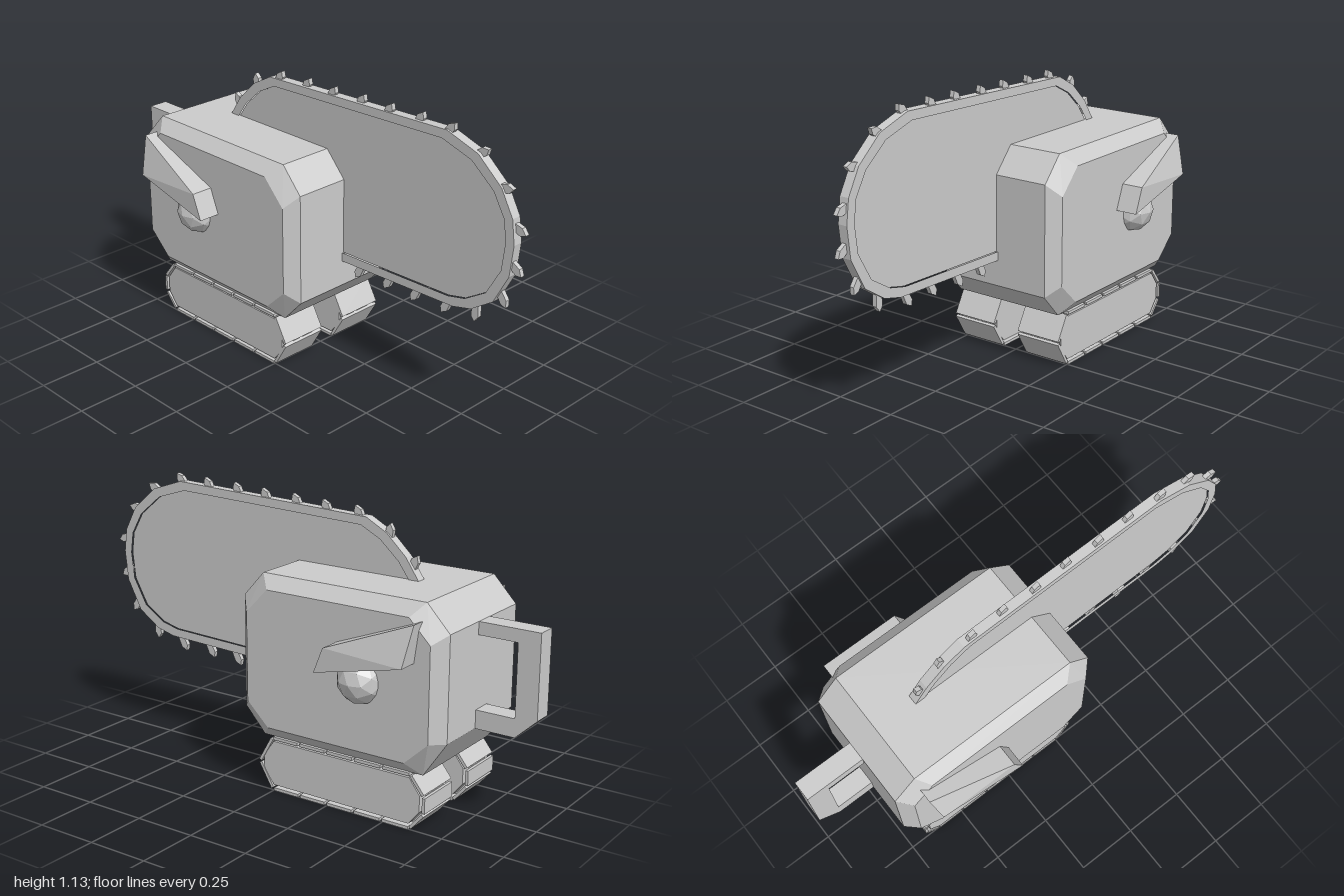
import * as THREE from 'three';
import { ConvexGeometry } from 'three/addons/geometries/ConvexGeometry.js';

const grey = new THREE.MeshStandardMaterial({ color: 0xcccccc });
grey.name = 'plain grey';

const toShape = (pts) => new THREE.Shape(pts.map(([z, y]) => new THREE.Vector2(z, y)));

// Side profile of [z, y] points, extruded to a slab centred on x
function slab(shape, width, x = 0) {
  const g = new THREE.ExtrudeGeometry(shape, { depth: width, bevelEnabled: false });
  g.translate(0, 0, -width / 2);
  g.rotateY(-Math.PI / 2);
  g.translate(x, 0, 0);
  return g;
}

function add(parent, name, geometry) {
  const mesh = new THREE.Mesh(geometry, grey);
  mesh.name = name;
  parent.add(mesh);
  return mesh;
}

const hull = (pts) => new ConvexGeometry(pts.map((p) => new THREE.Vector3(...p)));

// Chamfered housing: wide middle profile, smaller profile on each flank
function addBody(root) {
  const middle = [[0.14, 0.765], [0.05, 0.865], [-0.66, 0.865], [-0.755, 0.765],
    [-0.755, 0.362], [-0.66, 0.222], [0.05, 0.222], [0.14, 0.32]];
  const flank = [[0.095, 0.716], [0, 0.815], [-0.617, 0.815], [-0.705, 0.727],
    [-0.705, 0.363], [-0.607, 0.272], [0, 0.272], [0.095, 0.363]];
  const pts = [];
  for (const s of [-1, 1]) {
    for (const [z, y] of middle) pts.push([s * 0.24, y, z]);
    for (const [z, y] of flank) pts.push([s * 0.288, y, z]);
  }
  add(root, 'body', hull(pts));
}

// Guide bar with a raised rim and slanted cutting teeth
function addSaw(root) {
  const outline = [[0.64, 1.107], [0.783, 1.06], [0.89, 0.968], [0.944, 0.87],
    [0.957, 0.775], [0.944, 0.652], [0.88, 0.53], [0.783, 0.465], [0.7, 0.444],
    [-0.26, 0.41], [-0.4, 0.45], [-0.5, 0.6], [-0.52, 0.75], [-0.49, 0.866],
    [-0.435, 0.947], [-0.35, 1.027], [-0.26, 1.075]];
  const inner = outline.map(([z, y]) => [0.22 + (z - 0.22) * 0.95, 0.765 + (y - 0.765) * 0.895]);
  const saw = new THREE.Group();
  saw.name = 'saw';
  root.add(saw);

  const rim = toShape(outline);
  rim.holes.push(new THREE.Path(inner.map(([z, y]) => new THREE.Vector2(z, y))));
  add(saw, 'chainRim', slab(rim, 0.04));
  add(saw, 'guideBar', slab(toShape(inner), 0.026));

  const path = new THREE.CurvePath();
  outline.forEach(([z, y], i) => {
    const [z2, y2] = outline[(i + 1) % outline.length];
    path.add(new THREE.LineCurve(new THREE.Vector2(z, y), new THREE.Vector2(z2, y2)));
  });
  const tooth = [[-0.025, -0.012], [0.008, -0.012], [0.026, 0.018], [0.022, 0.042], [-0.004, 0.03]];
  const count = 26;
  for (let i = 0; i < count; i++) {
    const u = i / count;
    const p = path.getPointAt(u);
    const t = path.getPointAt((u + 0.01) % 1).sub(path.getPointAt((u + 0.99) % 1)).normalize();
    const placed = tooth.map(([a, b]) => [
      p.x + a * t.x - b * t.y, p.y - 0.01 + a * t.y + b * t.x]);
    add(saw, 'tooth', slab(toShape(placed), 0.018, i % 2 ? 0.003 : -0.003));
  }
}

// Bracket-shaped rear handle
function addHandle(root) {
  const bracket = [[-0.74, 0.765], [-1, 0.765], [-1, 0.44], [-0.915, 0.36], [-0.74, 0.36],
    [-0.74, 0.432], [-0.912, 0.432], [-0.912, 0.715], [-0.74, 0.715]];
  add(root, 'handle', slab(toShape(bracket), 0.08));
}

// Eye and angry brow on one flank
function addFace(root, s) {
  const eye = new THREE.IcosahedronGeometry(0.092, 1);
  eye.computeVertexNormals();
  add(root, s > 0 ? 'leftEye' : 'rightEye', eye).position.set(s * 0.267, 0.543, -0.41);
  const brow = [
    [0.377, 0.572, -0.275], [0.377, 0.672, -0.315], [0.328, 0.805, -0.662], [0.37, 0.652, -0.64],
    [0.275, 0.572, -0.275], [0.275, 0.672, -0.315], [0.27, 0.805, -0.662], [0.27, 0.652, -0.64]];
  add(root, s > 0 ? 'leftBrow' : 'rightBrow', hull(brow.map(([x, y, z]) => [s * x, y, z])));
}

// Crawler track: solid core, narrow link belt and a ring of flat plates
function addTrack(root, s) {
  const track = new THREE.Group();
  track.name = s > 0 ? 'leftTrack' : 'rightTrack';
  root.add(track);
  const x = s * 0.157;
  const core = [[0, 0.205], [0.045, 0.14], [0.045, 0.085], [0, 0.025],
    [-0.61, 0.025], [-0.655, 0.08], [-0.655, 0.145], [-0.61, 0.205]];
  const belt = [[0.005, 0.218], [0.065, 0.112], [0.003, 0.008],
    [-0.615, 0.008], [-0.673, 0.075], [-0.673, 0.145], [-0.615, 0.218]];
  const plates = [1, 1, 5, 1, 1, 1, 5];
  add(track, 'trackCore', slab(toShape(core), 0.19, x));
  add(track, 'linkBelt', slab(toShape(belt.map(([z, y]) =>
    [-0.305 + (z + 0.305) * 0.985, 0.113 + (y - 0.113) * 0.97])), 0.105, x));
  belt.forEach(([z, y], i) => {
    const [z2, y2] = belt[(i + 1) % belt.length];
    const n = plates[i];
    const length = Math.hypot(z2 - z, y2 - y) / n - 0.01;
    for (let k = 0; k < n; k++) {
      const f = (k + 0.5) / n;
      const plate = add(track, 'trackPlate', new THREE.BoxGeometry(0.195, 0.012, length));
      plate.position.set(x, y + (y2 - y) * f, z + (z2 - z) * f);
      plate.rotation.x = -Math.atan2(y2 - y, z2 - z);
    }
  });
}

export function createModel() {
  const root = new THREE.Group();
  root.name = 'trackedSaw';
  addBody(root);
  addSaw(root);
  addHandle(root);
  for (const s of [-1, 1]) {
    addFace(root, s);
    addTrack(root, s);
  }
  return root;
}
